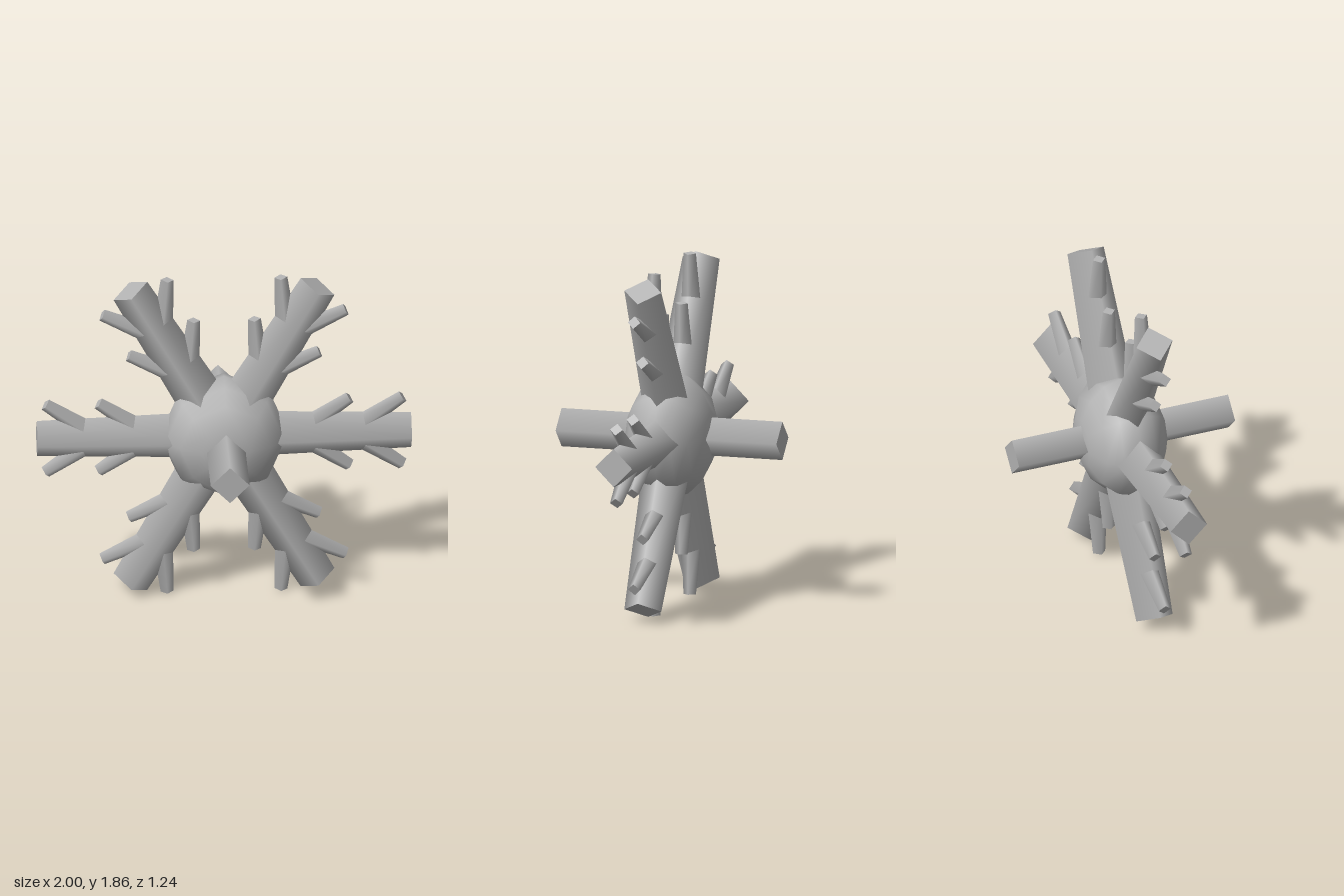
import * as THREE from 'three';

const CENTER_Y = 0.93;

export function createModel() {
  const model = new THREE.Group();
  model.name = 'snowflake';
  const grey = new THREE.MeshStandardMaterial({ color: 0xb4b4b4 });
  grey.name = 'plain grey';

  // Four-sided tapering bar that starts at the origin and grows along +y
  const bar = (name, tipRadius, baseRadius, length) => {
    const geometry = new THREE.CylinderGeometry(tipRadius, baseRadius, length, 4);
    geometry.translate(0, length / 2, 0);
    const mesh = new THREE.Mesh(geometry, grey);
    mesh.name = name;
    return mesh;
  };

  // Flattened hub with its poles facing front and back
  const hubGeometry = new THREE.SphereGeometry(0.345, 8, 8);
  hubGeometry.rotateX(Math.PI / 2);
  hubGeometry.scale(1, 1, 0.69);
  const hub = new THREE.Mesh(hubGeometry, grey);
  hub.name = 'hub';
  hub.position.y = CENTER_Y;
  model.add(hub);

  // Six arms, each with two pairs of twigs
  const twigAngle = THREE.MathUtils.degToRad(35);
  for (let i = 0; i < 6; i++) {
    const arm = new THREE.Group();
    arm.name = 'arm' + (i + 1);
    arm.add(bar('armBar', 0.104, 0.139, 1));
    for (const start of [0.385, 0.668]) {
      for (const side of [-1, 1]) {
        const twig = bar('twig', 0.035, 0.06, 0.35);
        twig.position.y = start;
        twig.rotation.z = side * twigAngle;
        arm.add(twig);
      }
    }
    arm.position.y = CENTER_Y;
    arm.rotation.z = (i * Math.PI) / 3 - Math.PI / 2;
    model.add(arm);
  }

  // Straight spikes to the front and back
  for (const side of [-1, 1]) {
    const spike = bar(side > 0 ? 'frontSpike' : 'backSpike', 0.104, 0.104, 0.62);
    spike.position.y = CENTER_Y;
    spike.rotation.x = (side * Math.PI) / 2;
    model.add(spike);
  }
  return model;
}
